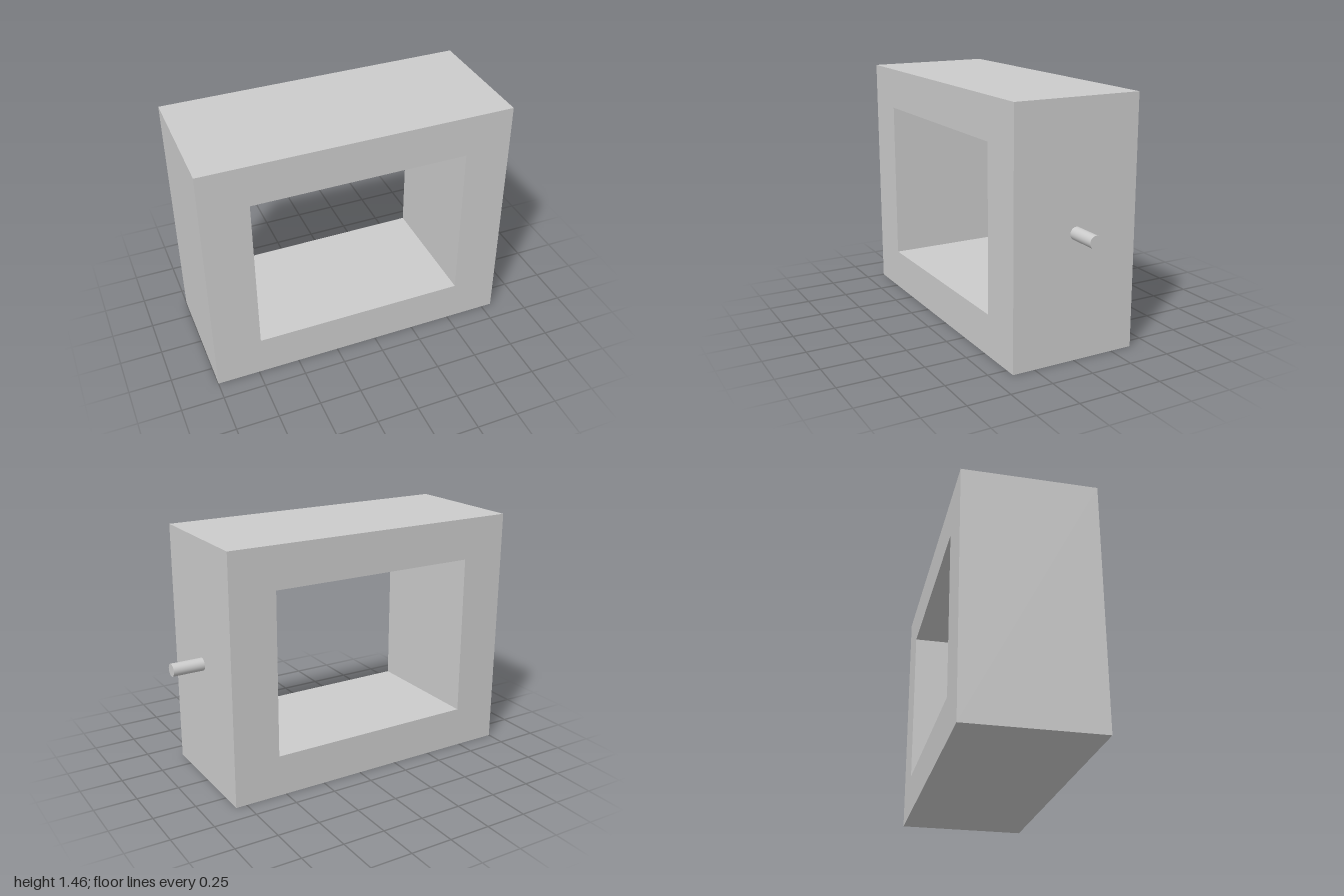
import * as THREE from 'three';

// Traces a closed rectangle on a Shape or Path
function traceRect(path, x0, y0, x1, y1) {
  path.moveTo(x0, y0);
  path.lineTo(x1, y0);
  path.lineTo(x1, y1);
  path.lineTo(x0, y1);
  path.closePath();
  return path;
}

export function createModel() {
  const group = new THREE.Group();
  const material = new THREE.MeshStandardMaterial({ color: 0xcccccc });

  const right = 0.815, height = 1.455, depth = 0.764;

  // Deep rectangular frame, open from front to back
  const outline = traceRect(new THREE.Shape(), -1, 0, right, height);
  outline.holes.push(traceRect(new THREE.Path(), -0.725, 0.245, 0.54, 1.21));
  const frameGeometry = new THREE.ExtrudeGeometry(outline, { depth, bevelEnabled: false });
  frameGeometry.translate(0, 0, -depth / 2);
  const frame = new THREE.Mesh(frameGeometry, material);
  frame.name = 'frame';
  group.add(frame);

  // Short round pin standing out from the middle of one side
  const pinLength = 1 - right;
  const pin = new THREE.Mesh(new THREE.CylinderGeometry(0.037, 0.037, pinLength, 40), material);
  pin.name = 'sidePin';
  pin.rotation.z = -Math.PI / 2;
  pin.position.set(right + pinLength / 2, height / 2, 0);
  group.add(pin);

  return group;
}
